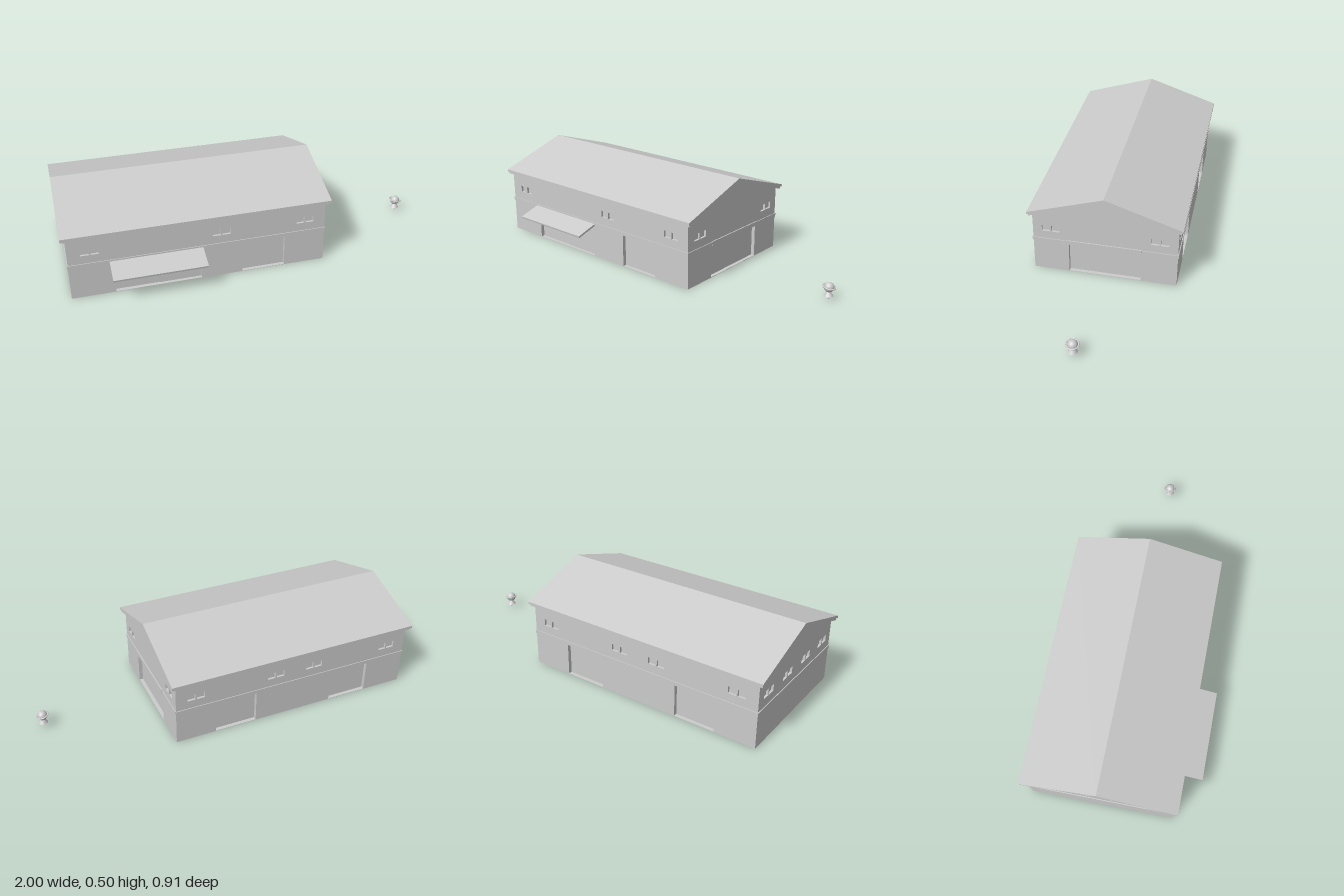
import * as THREE from 'three';

const grey = new THREE.MeshStandardMaterial({ color: 0xcccccc });
const flat = new THREE.MeshStandardMaterial({ color: 0xcccccc, flatShading: true });

const HL = 0.6725, HW = 0.3835; // half length (x) and half width (z) of the hall
const T = 0.02;                 // wall thickness, also depth of the door reveals
const RIDGE = 0.474, SLOPE = 0.32;

function mesh(name, geo, parent, mat = flat) {
  const m = new THREE.Mesh(geo, mat);
  m.name = name;
  parent.add(m);
  return m;
}

function box(name, parent, w, h, d, x, y, z) {
  const m = mesh(name, new THREE.BoxGeometry(w, h, d), parent);
  m.position.set(x, y, z);
  return m;
}

const polygon = pts => new THREE.Shape(pts.map(p => new THREE.Vector2(...p)));

function gableShape(hw) {
  const eave = RIDGE - SLOPE * hw;
  return polygon([[-hw, 0], [hw, 0], [hw, eave], [0, RIDGE], [-hw, eave]]);
}

function extrude(shape, depth) {
  return new THREE.ExtrudeGeometry(shape, { depth, bevelEnabled: false });
}

function hole(shape, u0, u1, y0, y1) {
  shape.holes.push(new THREE.Path([[u0, y0], [u0, y1], [u1, y1], [u1, y0]].map(p => new THREE.Vector2(...p))));
}

// Wall built facing +z at its origin, with door openings and paired windows
function wall(name, parent, shape, doors, windows, angle, distance) {
  const g = new THREE.Group();
  g.name = name;
  for (const [u0, u1] of doors) hole(shape, u0, u1, 0.002, 0.18);
  for (const c of windows) {
    for (const s of [-1, 1]) {
      const u = c + s * 0.0255;
      hole(shape, u - 0.0215, u + 0.0215, 0.246, 0.282);
      box('windowPane', g, 0.043, 0.036, 0.008, u, 0.264, 0.004);
    }
  }
  mesh('wallPanel', extrude(shape, T), g);
  g.rotation.y = angle;
  g.position.set(Math.sin(angle) * (distance - T), 0, Math.cos(angle) * (distance - T));
  parent.add(g);
  return g;
}

// Folded roof layer running along x
function roofLayer(name, parent, halfSpan, top, eave, thick, x0, x1) {
  const shape = polygon([
    [-halfSpan, eave - thick], [0, top - thick], [halfSpan, eave - thick],
    [halfSpan, eave], [0, top], [-halfSpan, eave],
  ]);
  const m = mesh(name, extrude(shape, x1 - x0), parent);
  m.rotation.y = Math.PI / 2;
  m.position.x = x0;
}

function createHall() {
  const hall = new THREE.Group();
  hall.name = 'hall';
  hall.position.set(-0.3025, 0, -0.0485);

  // Inner body, seen as the door leaves at the back of the openings
  const core = mesh('innerBody', extrude(gableShape(HW - T), 2 * (HL - T)), hall);
  core.rotation.y = Math.PI / 2;
  core.position.x = -(HL - T);

  // Four walls
  const longShape = () => {
    const l = HL - T, h = RIDGE - SLOPE * HW;
    return polygon([[-l, 0], [l, 0], [l, h], [-l, h]]);
  };
  const front = wall('frontWall', hall, longShape(), [[-0.4475, 0.0025], [0.2225, 0.4525]],
    [-0.56, 0.112, 0.562], 0, HW);
  wall('backWall', hall, longShape(), [[-0.4525, -0.2225], [0.2225, 0.4475]],
    [-0.562, -0.112, 0.112, 0.56], Math.PI, HW);
  wall('leftGable', hall, gableShape(HW), [[-0.193, 0.193]], [-0.288, 0.288], Math.PI / 2, HL);
  wall('rightGable', hall, gableShape(HW), [], [-0.288, -0.097, 0.097, 0.288], -Math.PI / 2, HL);

  // One of the two front door leaves stands slightly forward
  box('doorLeaf', front, 0.225, 0.178, 0.003, -0.11, 0.091, 0.0015);

  // Trim band around the walls and the lintel over the gable door
  for (const s of [-1, 1]) {
    box('trimBand', hall, 2 * HL + 0.006, 0.02, 0.008, 0, 0.19, s * HW);
    box('trimBand', hall, 0.008, 0.02, 2 * HW, s * HL, 0.19, 0);
  }
  box('doorLintel', hall, 0.012, 0.023, 0.386, HL, 0.1915, 0);

  // Roof in two layers
  roofLayer('roof', hall, 0.406, 0.501, 0.37, 0.014, -0.6975, 0.6975);
  roofLayer('roofUnderlay', hall, 0.398, 0.487, 0.358, 0.013, -0.692, 0.692);

  // Sloping canopy over the wide front opening
  const canopyShape = polygon([[0, 0.183], [0.122, 0.145], [0.124, 0.155], [0, 0.194]]);
  const canopy = mesh('canopy', extrude(canopyShape, 0.48), hall);
  canopy.rotation.y = -Math.PI / 2;
  canopy.position.set(0.0125, 0, HW - 0.002);
  return hall;
}

function createFigure() {
  const figure = new THREE.Group();
  figure.name = 'figure';
  figure.position.set(0.965, 0, -0.028);

  // Head with a tilted brim
  mesh('head', new THREE.SphereGeometry(0.026, 24, 16), figure, grey).position.y = 0.067;
  const tilt = new THREE.Group();
  tilt.name = 'hat';
  tilt.position.y = 0.07;
  tilt.rotation.z = -0.2;
  figure.add(tilt);
  const brim = mesh('brim', new THREE.TorusGeometry(0.03, 0.0045, 8, 32), tilt, grey);
  brim.rotation.x = Math.PI / 2;
  brim.scale.z = 0.7;

  // Dress and legs
  mesh('dress', new THREE.CylinderGeometry(0.006, 0.024, 0.026, 20), figure, grey).position.y = 0.034;
  for (const s of [-1, 1]) {
    const leg = mesh('leg', new THREE.CylinderGeometry(0.0025, 0.0025, 0.02, 10), figure, grey);
    leg.position.set(0, 0.015, s * 0.004);
  }
  return figure;
}

export function createModel() {
  const model = new THREE.Group();
  model.name = 'hallWithFigure';
  model.add(createHall(), createFigure());
  return model;
}
